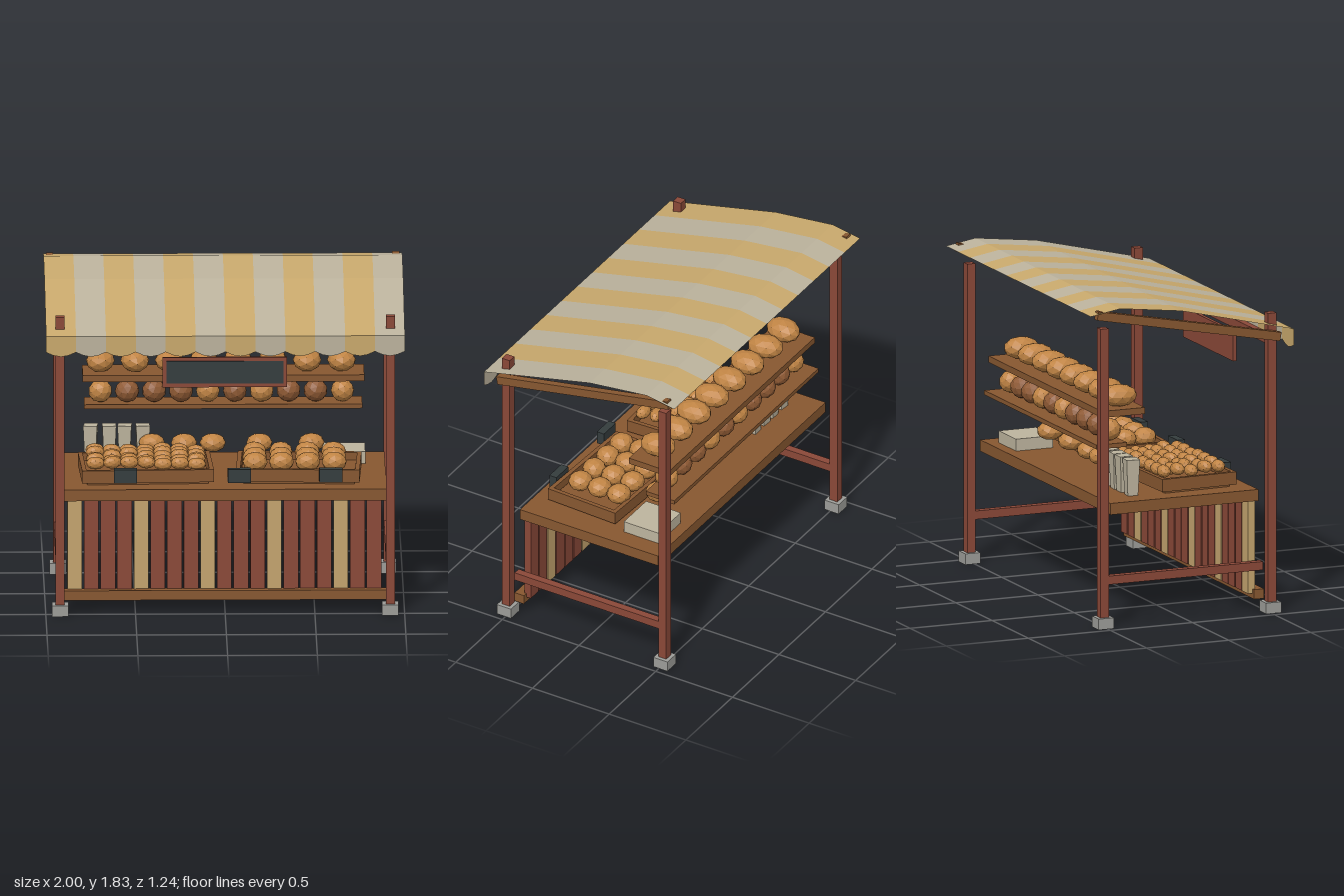
import * as THREE from 'three';

const mat = (name, color, extra = {}) => {
  const m = new THREE.MeshStandardMaterial({ color, ...extra });
  m.name = name;
  return m;
};

export function createModel() {
  const root = new THREE.Group();
  root.name = 'marketStall';
  const red = mat('redWood', 0x8a4838);
  const wood = mat('brownWood', 0x875730);
  const tan = mat('tanPaint', 0xc4a46e);
  const clothTan = mat('tanCloth', 0xc8a86c, { side: THREE.DoubleSide });
  const clothCream = mat('creamCloth', 0xbbb29c, { side: THREE.DoubleSide });
  const paper = mat('paper', 0xbdb49e);
  const stone = mat('stone', 0x9c9c98);
  const slate = mat('slate', 0x343c3d);
  const golden = mat('goldenCrust', 0xc08444);
  const dark = mat('darkCrust', 0x8f5a34);

  const add = (name, geo, material, parent = root) => {
    const m = new THREE.Mesh(geo, material);
    m.name = name;
    parent.add(m);
    return m;
  };
  // Box given by its limits on each axis
  const box = (name, material, x0, x1, y0, y1, z0, z1, parent = root) => {
    const m = add(name, new THREE.BoxGeometry(x1 - x0, y1 - y0, z1 - z0), material, parent);
    m.position.set((x0 + x1) / 2, (y0 + y1) / 2, (z0 + z1) / 2);
    return m;
  };
  let seed = 7;
  const rand = () => (seed = (seed * 16807) % 2147483647) / 2147483647;

  // Posts, feet, side rails and rafters
  for (const s of [-1, 1]) {
    const x = s * 0.92;
    for (const z of [-0.51, 0.51]) {
      box('post', red, x - 0.025, x + 0.025, 0.05, 1.71, z - 0.025, z + 0.025);
      box('foot', stone, x - 0.046, x + 0.046, 0, 0.062, z - 0.046, z + 0.046);
    }
    box('sideRail', red, x - 0.022, x + 0.022, 0.248, 0.296, -0.49, 0.455);
    const rafter = add('rafter', new THREE.BoxGeometry(0.04, 0.05, 1.135), wood);
    rafter.position.set(s * 0.965, 1.688, -0.012);
    rafter.rotation.x = Math.atan2(0.217, 1.115);
  }
  box('frontBeam', red, -0.92, 0.92, 1.53, 1.58, 0.49, 0.53);

  // Striped canopy with a scalloped valance
  const profile = [[0.62, 1.62], [-0.07, 1.785], [-0.44, 1.83], [-0.62, 1.8]];
  const stripes = 12, w = 2 / stripes;
  for (let i = 0; i < stripes; i++) {
    const cloth = i % 2 ? clothCream : clothTan;
    const x0 = -1 + i * w, x1 = x0 + w;
    const pos = [];
    for (let k = 0; k < 3; k++) {
      const [za, ya] = profile[k], [zb, yb] = profile[k + 1];
      pos.push(x0, ya, za, x1, ya, za, x1, yb, zb, x0, ya, za, x1, yb, zb, x0, yb, zb);
    }
    const g = new THREE.BufferGeometry();
    g.setAttribute('position', new THREE.Float32BufferAttribute(pos, 3));
    g.computeVertexNormals();
    add('canopyStripe', g, cloth);

    const flap = new THREE.Shape();
    flap.moveTo(x1, 1.62);
    flap.lineTo(x0, 1.62);
    for (let k = 0; k <= 4; k++) {
      flap.lineTo(x0 + (w * k) / 4, 1.53 - 0.026 * Math.sin((Math.PI * k) / 4));
    }
    add('valanceFlap', new THREE.ShapeGeometry(flap), cloth).position.z = 0.62;
  }

  // Counter with slatted front
  box('counterTop', wood, -0.9, 0.9, 0.635, 0.7, -0.455, 0.445);
  box('bottomRail', wood, -0.9, 0.9, 0.075, 0.13, 0.42, 0.48);
  for (let i = 0; i < 19; i++) {
    const x = -0.838 + i * 0.0927;
    box('frontSlat', i % 4 ? red : tan, x - 0.041, x + 0.041, 0.105, 0.635, 0.392, 0.434);
  }

  // Hanging board
  box('boardFrame', red, -0.35, 0.345, 1.312, 1.482, 0.535, 0.555);
  box('boardFace', slate, -0.328, 0.323, 1.335, 1.462, 0.553, 0.562);

  // Faceted loaf shared by all the baked goods
  const loafGeo = new THREE.IcosahedronGeometry(1, 1);
  loafGeo.computeVertexNormals();
  const loaf = (name, material, x, y, z, sx, sy, sz, yaw = 0) => {
    const m = add(name, loafGeo, material);
    m.position.set(x, y, z);
    m.scale.set(sx, sy, sz);
    m.rotation.y = yaw;
  };

  // Shelves
  box('upperShelf', wood, -0.785, 0.785, 1.165, 1.202, -0.455, -0.195);
  box('lowerShelf', wood, -0.775, 0.775, 0.985, 1.01, -0.485, -0.3);
  for (let i = 0; i < 8; i++) {
    loaf('largeLoaf', golden, -0.685 + i * 0.192, 1.262, -0.31, 0.08, 0.064, 0.105, (rand() - 0.5) * 0.3);
  }
  for (let i = 0; i < 10; i++) {
    const m = [0, 4, 6, 9].includes(i) ? golden : dark;
    loaf('roundLoaf', m, -0.685 + i * 0.15, 1.073, -0.37, 0.065, 0.065, 0.068, rand() * 3);
  }

  // Open crates on the counter
  const crate = (x, z, wd, dp, yaw) => {
    const c = new THREE.Group();
    c.name = 'crate';
    c.position.set(x, 0, z);
    c.rotation.y = yaw;
    root.add(c);
    const a = wd / 2, b = dp / 2, t = 0.025;
    box('crateFloor', wood, -a + 0.03, a - 0.03, 0.7, 0.745, -b + 0.03, b - 0.03, c);
    for (const s of [-1, 1]) {
      box('crateLongWall', wood, -a, a, 0.715, 0.787, s * (b - t / 2) - t / 2, s * (b - t / 2) + t / 2, c);
      box('crateEndWall', wood, s * (a - t / 2) - t / 2, s * (a - t / 2) + t / 2, 0.715, 0.787, -b + t, b - t, c);
    }
  };
  crate(-0.437, 0.115, 0.735, 0.46, 0.04);
  crate(0.415, 0.115, 0.69, 0.45, -0.04);

  // Small rolls, buns and loose loaves
  for (let i = 0; i < 7; i++) {
    for (let k = 0; k < 5; k++) {
      loaf('smallRoll', golden, -0.72 + i * 0.094, 0.8 + rand() * 0.02, 0.28 - k * 0.083,
        0.053, 0.036, 0.036, (rand() - 0.5) * 0.8);
    }
  }
  for (let i = 0; i < 4; i++) {
    for (let k = 0; k < 3; k++) {
      loaf('bun', golden, 0.17 + i * 0.147, 0.805, 0.225 - k * 0.125, 0.07, 0.056, 0.066, rand() * 3);
    }
  }
  for (const x of [-0.4, -0.22, -0.06, 0.2, 0.49]) {
    loaf('looseLoaf', golden, x, 0.813, -0.21, 0.073, 0.052, 0.075, rand() * 0.5);
  }

  // Price signs
  for (const x of [-0.555, 0.08, 0.59]) {
    box('priceSign', slate, x - 0.064, x + 0.064, 0.727, 0.803, 0.357, 0.403);
  }

  // Paper bags, wider at the mouth, and a stack of wrapping paper
  for (const x of [-0.74, -0.637, -0.55, -0.45]) {
    const g = new THREE.BoxGeometry(0.06, 0.205, 0.06);
    const p = g.attributes.position;
    for (let i = 0; i < p.count; i++) if (p.getY(i) > 0) p.setXYZ(i, p.getX(i) * 1.3, p.getY(i), p.getZ(i) * 1.3);
    g.computeVertexNormals();
    const bag = add('paperBag', g, paper);
    bag.position.set(x, 0.803, -0.258);
    bag.rotation.y = (rand() - 0.5) * 0.2;
  }
  box('paperStack', paper, 0.55, 0.79, 0.7, 0.768, -0.39, -0.165);

  return root;
}
